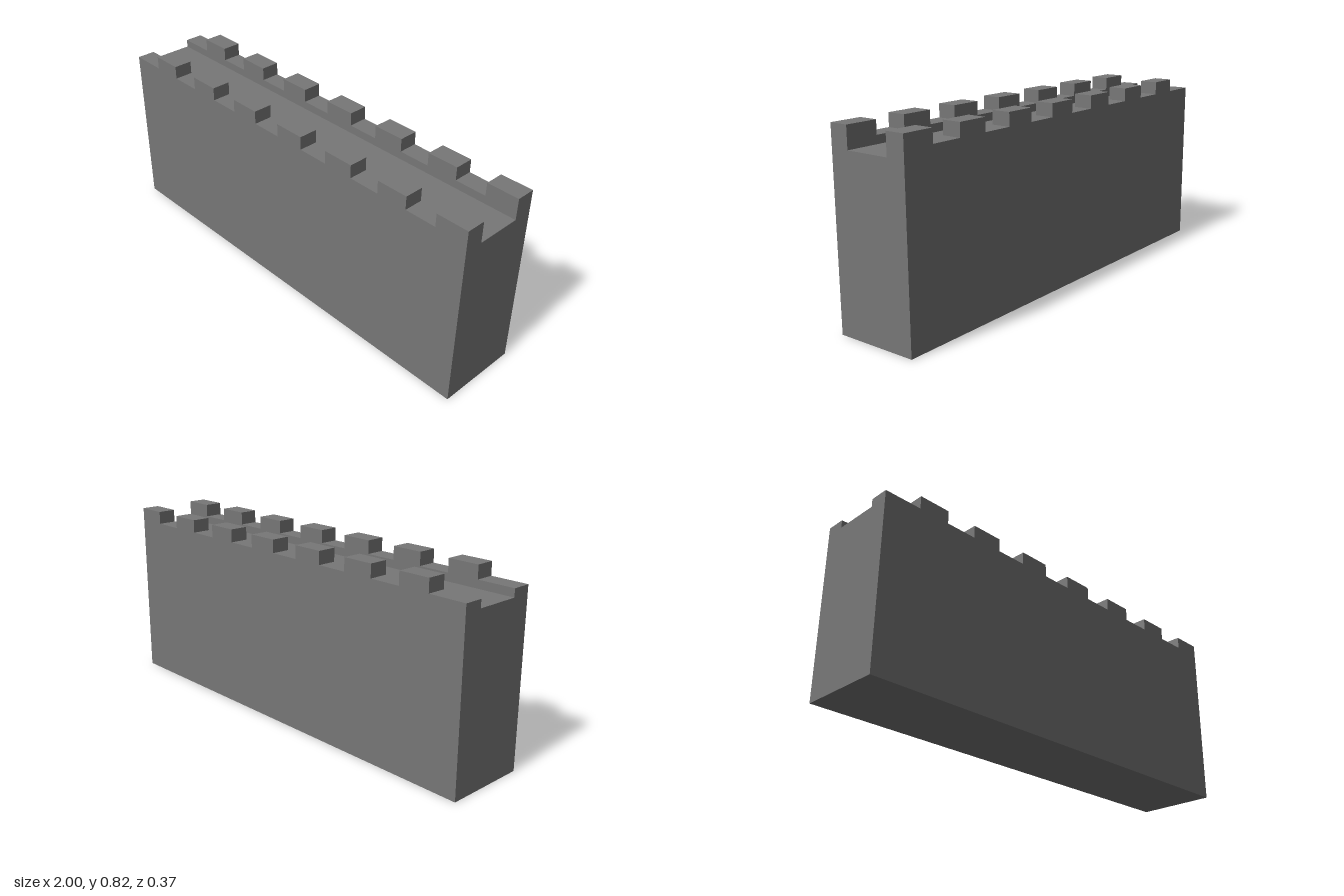
import * as THREE from 'three';

const HALF_LENGTH = 1, HALF_DEPTH = 0.184, WALK_HALF = 0.1;
const WALK_Y = 0.727, CRENEL_Y = 0.762, MERLON_Y = 0.82;
const MERLONS = 7, FIRST = -0.834, PITCH = 0.282, WIDTH = 0.141;

// Crenellated outline of a parapet, resting on the walkway level
function parapetGeometry() {
  const shape = new THREE.Shape();
  shape.moveTo(HALF_LENGTH, WALK_Y);
  shape.lineTo(HALF_LENGTH, MERLON_Y);
  for (let i = MERLONS - 1; i >= 0; i--) {
    const left = FIRST + i * PITCH;
    if (i < MERLONS - 1) {
      shape.lineTo(left + WIDTH, CRENEL_Y);
      shape.lineTo(left + WIDTH, MERLON_Y);
    }
    shape.lineTo(left, MERLON_Y);
    shape.lineTo(left, CRENEL_Y);
  }
  shape.lineTo(-HALF_LENGTH, CRENEL_Y);
  shape.lineTo(-HALF_LENGTH, WALK_Y);
  return new THREE.ExtrudeGeometry(shape, { depth: HALF_DEPTH - WALK_HALF, bevelEnabled: false });
}

export function createModel() {
  const model = new THREE.Group();
  model.name = 'castleWall';
  const stone = new THREE.MeshStandardMaterial({ color: 0x777777 });

  // Solid wall, its top is the walkway
  const body = new THREE.Mesh(new THREE.BoxGeometry(2 * HALF_LENGTH, WALK_Y, 2 * HALF_DEPTH), stone);
  body.name = 'wallBody';
  body.position.y = WALK_Y / 2;
  model.add(body);

  // Matching parapets along both long edges
  const geometry = parapetGeometry();
  for (const [name, z] of [['frontParapet', WALK_HALF], ['backParapet', -HALF_DEPTH]]) {
    const parapet = new THREE.Mesh(geometry, stone);
    parapet.name = name;
    parapet.position.z = z;
    model.add(parapet);
  }
  return model;
}
